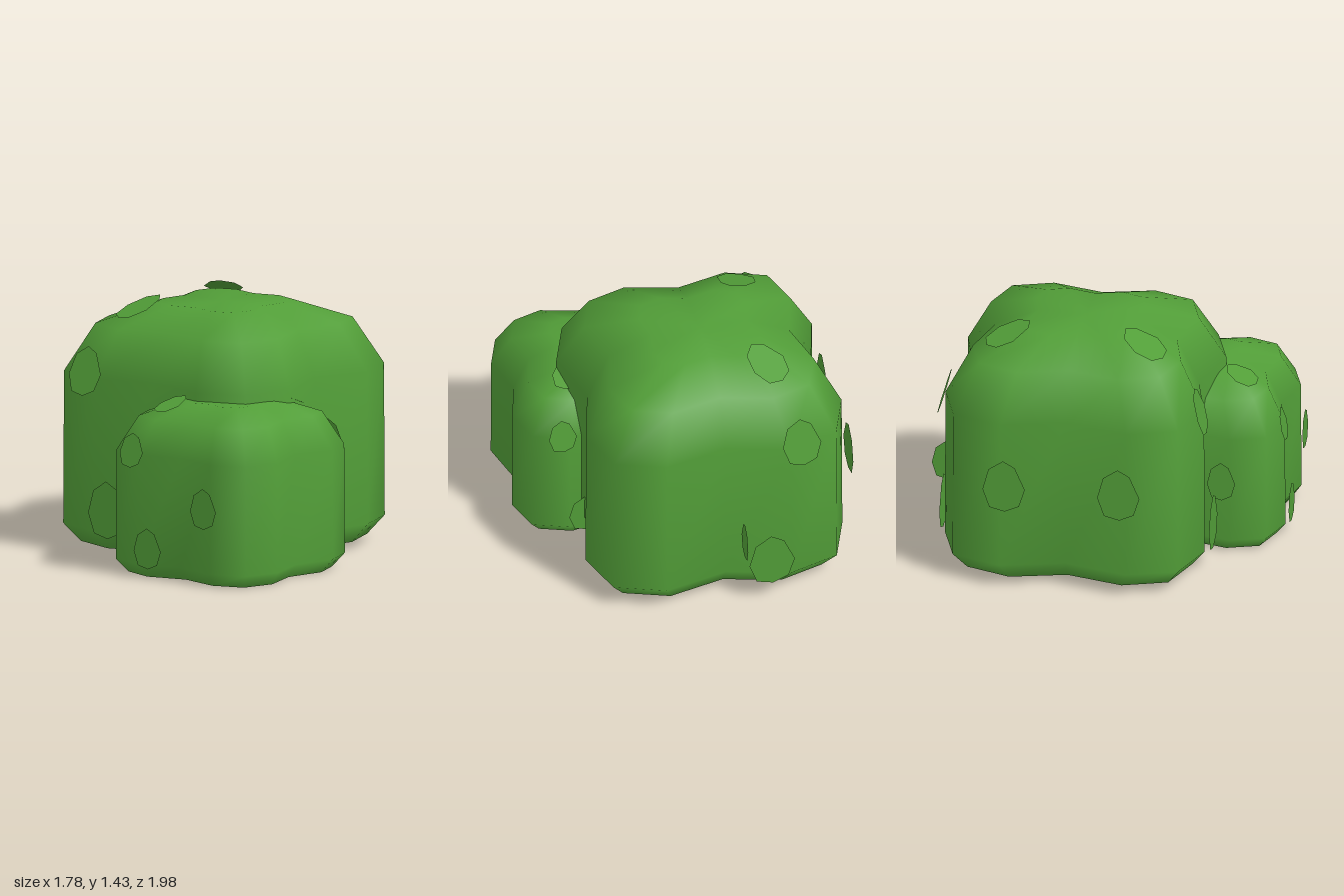
import * as THREE from 'three';

const leafGreen = new THREE.MeshStandardMaterial({ color: 0x529e38, side: THREE.DoubleSide });
leafGreen.name = 'leaf green';

// One quarter of the lobed outline (x, z); turned four times to close the ring
const QUARTER = [[0, 0.645], [0.36, 0.735], [0.64, 0.64], [0.738, 0.357]];
// Height and outline scale of each ring, bottom to top
const RINGS = [[0, 0.89], [0.105, 1], [0.97, 0.995], [1.235, 0.8], [1.345, 0.42]];

// Lobed block of foliage, open underneath
function bushGeometry() {
  const outline = [];
  for (let q = 0; q < 4; q++) {
    for (let [x, z] of QUARTER) {
      for (let k = 0; k < q; k++) [x, z] = [z, -x];
      outline.push([x, z]);
    }
  }
  const n = outline.length;
  const position = [];
  const index = [];
  for (const [y, s] of RINGS) for (const [x, z] of outline) position.push(x * s, y, z * s);
  const top = RINGS.length - 1;
  const centre = position.length / 3;
  position.push(0, RINGS[top][0], 0);
  for (let i = 0; i < n; i++) {
    const j = (i + 1) % n;
    for (let r = 0; r < top; r++) {
      const a = r * n + i, b = r * n + j;
      index.push(a, b, b + n, a, b + n, a + n);
    }
    index.push(top * n + i, top * n + j, centre);
  }
  const g = new THREE.BufferGeometry();
  g.setAttribute('position', new THREE.Float32BufferAttribute(position, 3));
  g.setIndex(index);
  g.computeVertexNormals();
  return g;
}

// Irregular leaf, one unit across
const leafShape = new THREE.Shape([
  [-0.5, -0.08], [-0.34, -0.43], [0.02, -0.5], [0.36, -0.38], [0.5, -0.04],
  [0.26, 0.38], [-0.02, 0.5], [-0.36, 0.32],
].map(([x, y]) => new THREE.Vector2(x, y)));
const leafGeometry = new THREE.ShapeGeometry(leafShape);

function addLeaf(group, [x, y, z], [nx, ny, nz], [w, h]) {
  const leaf = new THREE.Mesh(leafGeometry, leafGreen);
  leaf.name = 'leaf';
  leaf.position.set(x, y, z);
  leaf.lookAt(x + nx, y + ny, z + nz);
  leaf.scale.set(w, h, 1);
  group.add(leaf);
}

export function createModel() {
  const model = new THREE.Group();
  model.name = 'bushes';
  const geometry = bushGeometry();

  const largeBush = new THREE.Mesh(geometry, leafGreen);
  largeBush.name = 'largeBush';
  largeBush.position.set(-0.11, 0.04, -0.125);
  const smallBush = new THREE.Mesh(geometry, leafGreen);
  smallBush.name = 'smallBush';
  smallBush.position.set(0.365, 0, 0.44);
  smallBush.scale.set(0.712, 0.716, 0.712);
  model.add(largeBush, smallBush);

  // Leaves mirrored front to back across the large bush
  const largeLeaves = new THREE.Group();
  largeLeaves.name = 'largeBushLeaves';
  for (const [p, nrm, size] of [
    [[-0.53, 1.045, 0.6], [0, 0.27, 1], [0.22, 0.28]],
    [[-0.35, 0.28, 0.64], [0, 0, 1], [0.26, 0.325]],
    [[-0.41, 1.375, 0.26], [-0.2, 1, 0.38], [0.22, 0.28]],
    [[-0.89, 0.655, 0.2], [-1, 0, 0], [0.24, 0.31]],
    [[-0.19, 0.45, 0.655], [-1, 0, 0], [0.16, 0.23]],
  ]) {
    addLeaf(largeLeaves, p, nrm, size);
    addLeaf(largeLeaves, [p[0], p[1], -0.25 - p[2]], [nrm[0], nrm[1], -nrm[2]], size);
  }

  // Leaves repeated by a half turn about the small bush
  const smallLeaves = new THREE.Group();
  smallLeaves.name = 'smallBushLeaves';
  for (const [p, nrm, size] of [
    [[0.07, 0.718, 0.963], [0, 0.2, 1], [0.16, 0.195]],
    [[0.197, 0.175, 0.985], [0, 0, 1], [0.19, 0.23]],
    [[0.157, 0.955, 0.71], [-0.15, 1, 0.37], [0.17, 0.2]],
  ]) {
    addLeaf(smallLeaves, p, nrm, size);
    addLeaf(smallLeaves, [0.73 - p[0], p[1], 0.88 - p[2]], [-nrm[0], nrm[1], -nrm[2]], size);
  }
  addLeaf(smallLeaves, [0.592, 0.445, 0.99], [0, 0, 1], [0.18, 0.23]);

  model.add(largeLeaves, smallLeaves);
  return model;
}
